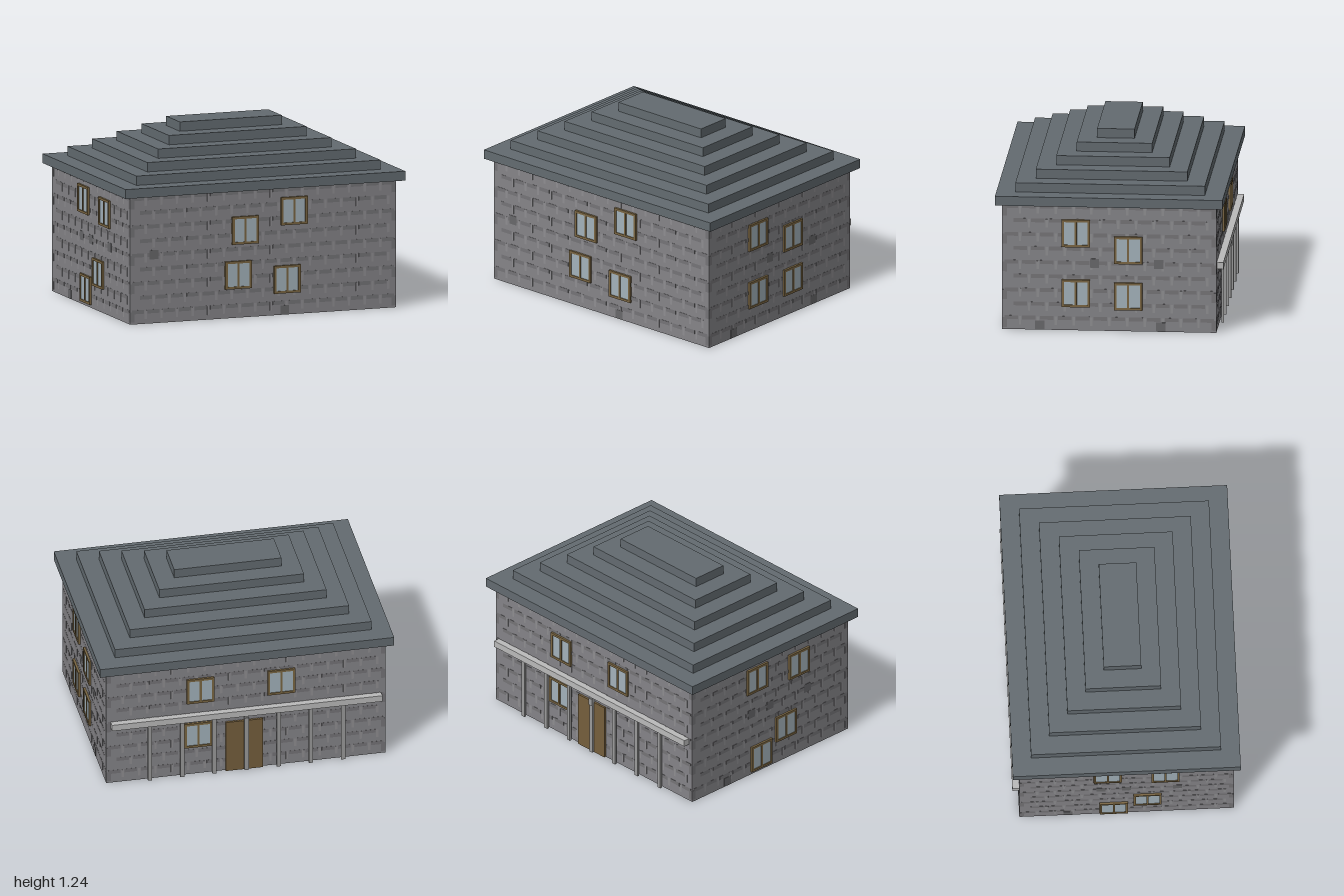
import * as THREE from 'three';
import { mergeGeometries } from 'three/addons/utils/BufferGeometryUtils.js';

const HX = 0.95, HZ = 0.715, WALL_H = 0.86;
const mat = (color) => new THREE.MeshStandardMaterial({ color });
const MATS = {
  wall: mat(0x858488), joint: mat(0x757477), pale: mat(0x8f8e91), patch: mat(0x68686a),
  roof: mat(0x636b70), wood: mat(0x7a6642), door: mat(0x755f3c), glass: mat(0xa3b2bb),
  beam: mat(0xbababa), post: mat(0x9b9b9b),
};

function boxGeo(w, h, d, x, y, z) {
  return new THREE.BoxGeometry(w, h, d).translate(x, y, z);
}

function addBox(parent, name, material, w, h, d, x, y, z) {
  const mesh = new THREE.Mesh(boxGeo(w, h, d, x, y, z), material);
  mesh.name = name;
  parent.add(mesh);
  return mesh;
}

// Two-pane window, centred on (u, v) of a wall face
function addWindow(face, u, v) {
  const S = 0.188, T = 0.016, D = 0.015;
  const win = new THREE.Group();
  win.name = 'window';
  win.position.set(u, v, 0);
  const e = (S - T) / 2;
  const frame = mergeGeometries([
    boxGeo(S, T, D, 0, e, D / 2), boxGeo(S, T, D, 0, -e, D / 2),
    boxGeo(T, S - 2 * T, D, e, 0, D / 2), boxGeo(T, S - 2 * T, D, -e, 0, D / 2),
    boxGeo(0.014, S - 2 * T, D, 0, 0, D / 2),
  ]);
  const frameMesh = new THREE.Mesh(frame, MATS.wood);
  frameMesh.name = 'windowFrame';
  win.add(frameMesh);
  addBox(win, 'windowGlass', MATS.glass, S - T, S - T, 0.009, 0, 0, 0.0045);
  face.add(win);
}

// Staggered stone courses: dark bed joints and pale upright joints, barely proud
function addStonework(face, half) {
  const rows = 9, rowH = WALL_H / rows, count = Math.round(2 * half / 0.115), step = 2 * half / count;
  const dark = [], pale = [];
  for (let r = 0; r < rows; r++) {
    const top = (r + 1) * rowH, shift = (r % 2) * step / 2;
    for (let i = 0; i < count; i++) {
      const u = -half + (i + 0.5) * step + shift;
      if (u + step * 0.4 < half) dark.push(boxGeo(step * 0.76, 0.026, 0.002, u, top - 0.014, 0));
      if (u + step / 2 < half - 0.02) pale.push(boxGeo(0.016, 0.058, 0.002, u + step / 2, top - 0.034, 0));
    }
    // Corner stones on alternate courses
    if (r % 2 === 0) for (const s of [-1, 1]) dark.push(boxGeo(0.03, rowH * 0.7, 0.002, s * (half - 0.016), top - rowH / 2, 0));
  }
  const bed = new THREE.Mesh(mergeGeometries(dark), MATS.joint);
  bed.name = 'stoneBedJoints';
  const up = new THREE.Mesh(mergeGeometries(pale), MATS.pale);
  up.name = 'stoneUprightJoints';
  face.add(bed, up);
}

// Face group: local x runs along the wall, local z points outward
function makeFace(name, angle, dist, half, windows, patches) {
  const face = new THREE.Group();
  face.name = name;
  face.rotation.y = angle;
  face.position.set(Math.sin(angle) * dist, 0, Math.cos(angle) * dist);
  addStonework(face, half);
  for (const [u, v] of windows) addWindow(face, u, v);
  for (const [u, v] of patches) addBox(face, 'darkStone', MATS.patch, 0.062, 0.062, 0.004, u, v, 0);
  return face;
}

export function createModel() {
  const house = new THREE.Group();
  house.name = 'house';
  addBox(house, 'walls', MATS.wall, 2 * HX, WALL_H, 2 * HZ, 0, WALL_H / 2, 0);

  // Walls with their windows and odd dark stones
  house.add(makeFace('frontWall', 0, HZ, HX,
    [[-0.13, 0.59], [0.22, 0.70], [-0.18, 0.29], [0.17, 0.24]],
    [[-0.78, 0.463], [0.155, 0.032]]));
  house.add(makeFace('leftWall', Math.PI / 2, HX, HZ,
    [[-0.223, 0.667], [0.127, 0.557], [-0.223, 0.255], [0.127, 0.24]],
    [[-0.098, 0.463], [0.33, 0.463], [-0.465, 0.032], [0.345, 0.032]]));
  house.add(makeFace('rightWall', -Math.PI / 2, HX, HZ,
    [[-0.125, 0.715], [0.26, 0.685], [0.14, 0.255], [-0.085, 0.115]],
    [[-0.17, 0.463], [0, 0.463], [0.34, 0.463], [-0.39, 0.032]]));
  const back = makeFace('backWall', Math.PI, HZ, HX,
    [[-0.31, 0.65], [0.24, 0.65], [-0.325, 0.305]], []);
  house.add(back);

  // Double door
  for (const s of [-1, 1]) addBox(back, 'doorLeaf', MATS.door, 0.126, 0.38, 0.015, s * 0.064 - 0.012, 0.19, 0.0075);

  // Porch beam on seven slim posts, with a small lamp over the door
  addBox(back, 'porchBeam', MATS.beam, 1.84, 0.045, 0.045, 0, 0.453, 0.0225);
  for (let i = -3; i <= 3; i++) addBox(back, 'porchPost', MATS.post, 0.028, 0.432, 0.015, i * 0.219, 0.216, 0.0215);
  addBox(back, 'doorLamp', MATS.post, 0.03, 0.05, 0.03, 0, 0.385, 0.02);

  // Stepped roof
  const tierH = 0.0633;
  for (let i = 0; i < 6; i++) {
    addBox(house, 'roofTier', MATS.roof, 2 - i * 0.254, tierH, 1.52 - i * 0.254, 0, WALL_H + (i + 0.5) * tierH, 0);
  }
  return house;
}
